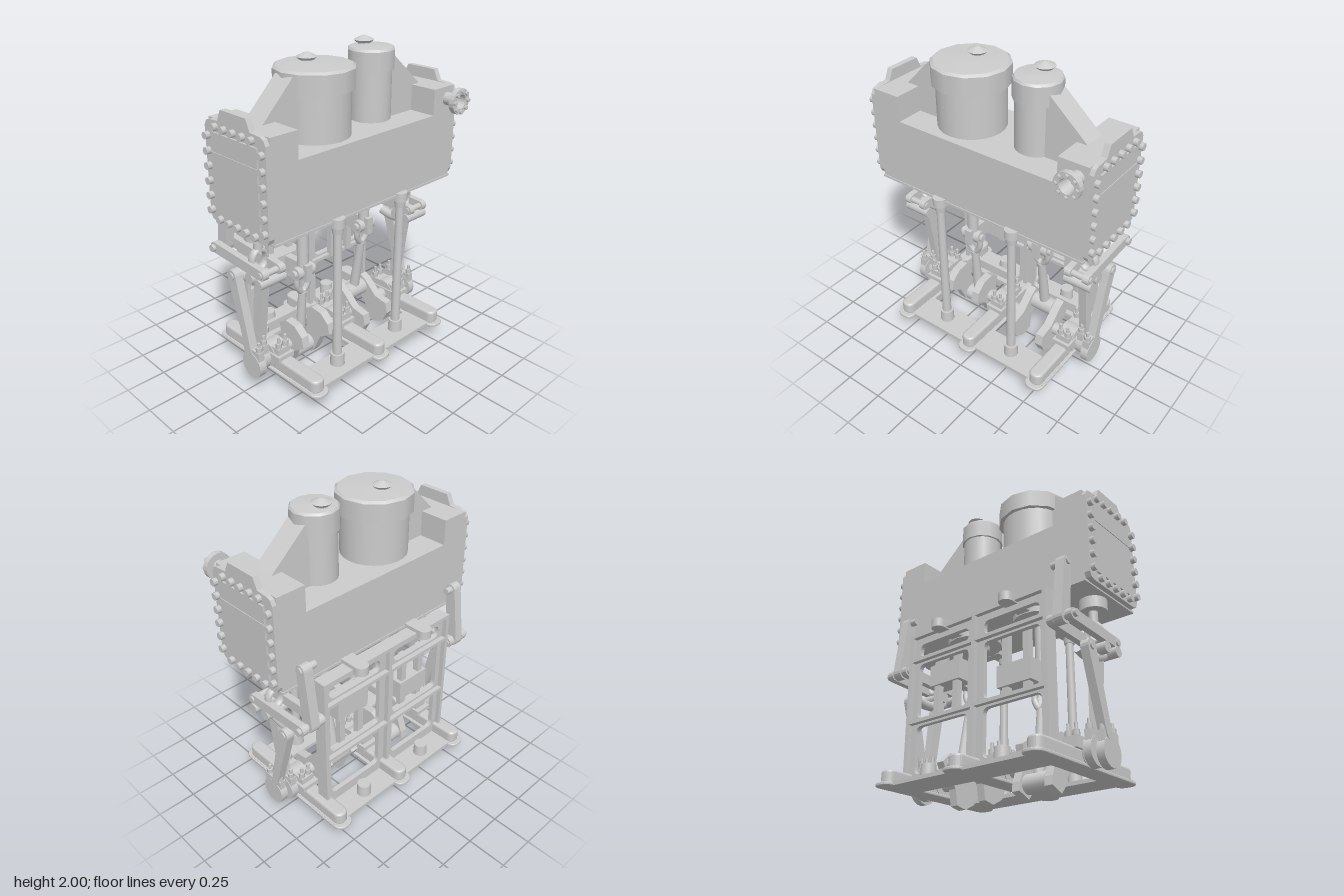
import * as THREE from 'three';

const grey = new THREE.MeshStandardMaterial({ color: 0xcccccc });
const V = (x, y, z) => new THREE.Vector3(x, y, z);

function put(parent, name, geo, x = 0, y = 0, z = 0) {
  const m = new THREE.Mesh(geo, grey);
  m.name = name;
  m.position.set(x, y, z);
  parent.add(m);
  return m;
}
// box given by its limits
function box(p, name, x0, x1, y0, y1, z0, z1) {
  return put(p, name, new THREE.BoxGeometry(x1 - x0, y1 - y0, z1 - z0), (x0 + x1) / 2, (y0 + y1) / 2, (z0 + z1) / 2);
}
// round bar between two points, optionally tapered
function bar(p, name, a, b, r0, r1 = r0, seg = 12) {
  const d = b.clone().sub(a);
  const m = put(p, name, new THREE.CylinderGeometry(r1, r0, d.length(), seg));
  m.position.copy(a).add(b).multiplyScalar(0.5);
  m.quaternion.setFromUnitVectors(V(0, 1, 0), d.normalize());
  return m;
}
const post = (p, name, x, z, y0, y1, r, r1 = r, seg = 12) => bar(p, name, V(x, y0, z), V(x, y1, z), r, r1, seg);
const axle = (p, name, x0, x1, y, z, r, seg = 16) => bar(p, name, V(x0, y, z), V(x1, y, z), r, r, seg);
// plate drawn in (z, y) and given thickness along x
function plateX(p, name, pts, x0, x1) {
  const s = new THREE.Shape(pts.map(([z, y]) => new THREE.Vector2(-z, y)));
  const g = new THREE.ExtrudeGeometry(s, { depth: x1 - x0, bevelEnabled: false });
  g.rotateY(Math.PI / 2);
  return put(p, name, g, x0, 0, 0);
}
// flat link with round ends, lying in a z-y plane
function linkX(p, name, x, w, [z0, y0], [z1, y1], r0, r1 = r0) {
  const a = Math.atan2(y1 - y0, z1 - z0), pts = [];
  for (let i = 0; i <= 8; i++) pts.push([z0 + r0 * Math.cos(a + Math.PI * (0.5 + i / 8)), y0 + r0 * Math.sin(a + Math.PI * (0.5 + i / 8))]);
  for (let i = 0; i <= 8; i++) pts.push([z1 + r1 * Math.cos(a + Math.PI * (i / 8 - 0.5)), y1 + r1 * Math.sin(a + Math.PI * (i / 8 - 0.5))]);
  return plateX(p, name, pts, x - w / 2, x + w / 2);
}
function roundRect(path, x0, x1, y0, y1, r) {
  path.moveTo(x0 + r, y0).lineTo(x1 - r, y0).quadraticCurveTo(x1, y0, x1, y0 + r).lineTo(x1, y1 - r);
  path.quadraticCurveTo(x1, y1, x1 - r, y1).lineTo(x0 + r, y1).quadraticCurveTo(x0, y1, x0, y1 - r);
  return path.lineTo(x0, y0 + r).quadraticCurveTo(x0, y0, x0 + r, y0);
}

function cylinderBlock(g) {
  box(g, 'cylinderBlock', -0.72, 0.73, 1.085, 1.52, -0.195, 0.31);
  box(g, 'blockLip', -0.725, 0.735, 1.08, 1.095, -0.2, 0.315);
  // cylinders with overhanging caps and knobs
  for (const [x, r, rc, y0, y1] of [[-0.2, 0.205, 0.233, 1.79, 1.905], [0.25, 0.125, 0.14, 1.82, 1.935]]) {
    post(g, 'cylinder', x, 0.06, 1.5, y0, r, r, 24);
    post(g, 'cylinderCap', x, 0.06, y0, y1, rc);
    post(g, 'capBevel', x, 0.06, y1, y1 + 0.013, rc, rc * 0.93);
    post(g, 'capDome', x, 0.06, y1 + 0.013, y1 + 0.022, rc * 0.93, rc * 0.25);
    post(g, 'knobNeck', x, 0, y1, y1 + 0.035, 0.035);
    post(g, 'knob', x, 0, y1 + 0.027, y1 + 0.042, 0.045, 0.06, 16);
    post(g, 'knobTop', x, 0, y1 + 0.042, y1 + 0.065, 0.06, 0.012, 16);
  }
  // sloping braces from the end chests to the cylinders
  for (const pts of [[[-0.63, 1.52], [-0.3, 1.52], [-0.3, 1.89], [-0.42, 1.89], [-0.63, 1.68]],
    [[0.3, 1.52], [0.61, 1.52], [0.61, 1.68], [0.37, 1.89], [0.3, 1.89]]]) {
    const s = new THREE.Shape(pts.map(([x, y]) => new THREE.Vector2(x, y)));
    put(g, 'brace', new THREE.ExtrudeGeometry(s, { depth: 0.14, bevelEnabled: false }), 0, 0, -0.008);
  }
  // end chests with bolted covers
  for (const s of [-1, 1]) {
    const range = (a, b) => (s > 0 ? [a, b] : [-b, -a]);
    box(g, 'endChest', ...range(0.545, 0.73), 1.5, 1.68, -0.195, 0.31);
    const c = [[0.31, 1.13], [0.295, 1.1], [0.27, 1.09], [-0.15, 1.09], [-0.18, 1.1], [-0.195, 1.13], [-0.195, 1.64], [-0.18, 1.67],
      [-0.15, 1.68], [-0.08, 1.685], [-0.05, 1.75], [0.16, 1.75], [0.19, 1.685], [0.27, 1.68], [0.295, 1.67], [0.31, 1.64]];
    plateX(g, 'endCover', c, ...range(0.72, 0.757));
    box(g, 'coverPanel', ...range(0.75, 0.768), 1.15, 1.62, -0.13, 0.25);
    box(g, 'coverRib', ...range(0.76, 0.772), 1.485, 1.51, -0.13, 0.25);
    const bolts = [];
    for (let i = 0; i < 6; i++) for (const z of [0.285, -0.168]) bolts.push([1.16 + i * 0.086, z]);
    for (let i = 0; i < 5; i++) for (const y of [1.12, 1.65]) bolts.push([y, 0.208 - i * 0.076]);
    for (const [y, z] of bolts) axle(g, 'coverBolt', s * 0.755, s * 0.785, y, z, 0.022, 8);
  }
  // steam inlet with an open flange
  const ring = [[0.04, 0.3], [0.04, 0.385], [0.08, 0.385], [0.08, 0.418], [0.045, 0.418], [0.03, 0.33], [0, 0.33]].map(([r, y]) => new THREE.Vector2(r, y));
  const inlet = put(g, 'steamInlet', new THREE.LatheGeometry(ring, 20).toNonIndexed(), 0.668, 1.605, 0);
  inlet.geometry.rotateX(Math.PI / 2).computeVertexNormals();
  inlet.material = grey.clone();
  inlet.material.side = THREE.DoubleSide;
  for (let i = 0; i < 8; i++) {
    const x = 0.668 + 0.063 * Math.cos(i * Math.PI / 4), y = 1.605 + 0.063 * Math.sin(i * Math.PI / 4);
    bar(g, 'inletBolt', V(x, y, 0.41), V(x, y, 0.432), 0.013, 0.013, 6);
  }
}

function base(g) {
  // cross members with rounded ends on a spreading flange
  for (const x of [-0.525, 0, 0.525]) {
    for (const [n, hw, hz, y0, y1, b] of [['baseFlange', 0.063, 0.47, 0.1, 0.12, 0.006], ['crossMember', 0.045, 0.44, 0.11, 0.198, 0.016]]) {
      const s = roundRect(new THREE.Shape(), x - hw + b, x + hw - b, -hz + b, hz - b, (hw - b) * 0.95);
      const geo = new THREE.ExtrudeGeometry(s, { depth: y1 - y0 - 2 * b, bevelSize: b, bevelThickness: b, bevelSegments: 3, curveSegments: 6 });
      geo.rotateX(-Math.PI / 2);
      put(g, n, geo, 0, y0 + b, 0);
    }
    // main bearing with cap, bolts and nuts
    box(g, 'bearingBlock', x - 0.06, x + 0.06, 0.19, 0.225, -0.14, 0.14);
    axle(g, 'bearingCap', x - 0.05, x + 0.05, 0.19, 0.01, 0.085, 16);
    box(g, 'bearingShoulder', x - 0.045, x + 0.045, 0.19, 0.265, -0.11, 0.12);
    for (const z of [-0.085, 0.1]) for (const dx of [-0.025, 0.025]) {
      post(g, 'bearingStud', x + dx, z, 0.25, 0.34, 0.01, 0.01, 8);
      post(g, 'bearingNut', x + dx, z, 0.265, 0.3, 0.02, 0.02, 6);
    }
  }
  // low plates joining the cross members, with feet for the columns
  box(g, 'frontPlate', -0.582, 0.582, 0.1, 0.123, 0.22, 0.417);
  box(g, 'rearPlate', -0.582, 0.582, 0.1, 0.123, -0.422, -0.2);
  for (const x of [-0.265, 0.265]) for (const z of [0.31, -0.345]) post(g, 'foot', x, z, 0.115, 0.2, 0.046, 0.042, 16);
}

function frame(g) {
  // rear frame: pierced web with flanged bars
  const s = roundRect(new THREE.Shape(), -0.52, 0.52, 0.115, 1.08, 0.005);
  for (const [a, b] of [[-0.465, -0.06], [0.06, 0.465]])
    for (const [y0, y1] of [[0.93, 1.015], [0.53, 0.88], [0.19, 0.48]]) s.holes.push(roundRect(new THREE.Path(), a, b, y0, y1, 0.04));
  put(g, 'frameWeb', new THREE.ExtrudeGeometry(s, { depth: 0.03, bevelEnabled: false, curveSegments: 5 }), 0, 0, -0.265);
  for (const x of [-0.515, 0, 0.515]) box(g, 'frameUpright', x - 0.012, x + 0.012, 0.115, 1.08, -0.295, -0.21);
  for (const y of [0.505, 0.905, 1.07]) box(g, 'frameBar', -0.525, 0.525, y - 0.011, y + 0.011, -0.295, -0.21);
  for (const x of [-0.265, 0.265]) {
    // front column
    post(g, 'column', x, 0.31, 0.19, 1.07, 0.029, 0.025, 16);
    post(g, 'columnCollar', x, 0.31, 1.01, 1.1, 0.032, 0.042, 16);
    // lugs joining the block to column and frame
    for (const [z0, z1] of [[0.2, 0.31], [-0.15, -0.315]]) {
      box(g, 'lug', x - 0.044, x + 0.044, 1.05, 1.105, Math.min(z0, z1), Math.max(z0, z1));
      post(g, 'lugEnd', x, z1, 1.05, 1.105, 0.044, 0.044, 16);
    }
    for (const d of [-0.075, 0.075]) box(g, 'guideBar', x + d - 0.02, x + d + 0.02, 0.5, 0.91, -0.235, -0.195);
  }
}

function runningGear(g) {
  axle(g, 'shaftLeft', 0.4, 0.69, 0.18, 0.01, 0.04);
  axle(g, 'shaftMiddle', -0.14, 0.14, 0.18, 0.01, 0.04);
  axle(g, 'shaftRight', -0.69, -0.4, 0.18, 0.01, 0.04);
  for (const [x, y, turn] of [[-0.265, 0.645, Math.PI + 0.4], [0.265, 0.785, -Math.PI / 4]]) {
    // crank with fan-shaped balance weights
    const crank = new THREE.Group();
    crank.name = 'crank';
    crank.position.set(x, 0.18, 0.01);
    crank.rotation.x = turn;
    g.add(crank);
    const web = [[0.06, 0.13], [0.045, 0.18], [-0.045, 0.18], [-0.06, 0.13], [-0.065, 0], [-0.12, -0.08],
      [-0.08, -0.14], [0, -0.165], [0.08, -0.14], [0.12, -0.08], [0.065, 0]];
    for (const d of [-0.135, 0.082]) plateX(crank, 'crankWeb', web, d, d + 0.053);
    axle(crank, 'crankPin', -0.1, 0.1, 0.115, 0, 0.04);
    axle(crank, 'bigEnd', -0.075, 0.075, 0.115, 0, 0.056);
    const py = 0.18 + 0.115 * Math.cos(turn), pz = 0.01 + 0.115 * Math.sin(turn);
    // connecting rod ending in a U-shaped fork
    const pin = V(x, py, pz), top = V(x, y, 0.01), fork = pin.clone().lerp(top, 0.74);
    bar(g, 'connectingRod', pin, fork, 0.035, 0.026);
    const side = (d, t) => pin.clone().lerp(top, t).add(V(d, 0, 0));
    const u = new THREE.CatmullRomCurve3([side(-0.045, 1), side(-0.045, 0.84), fork, side(0.045, 0.84), side(0.045, 1)]);
    put(g, 'rodFork', new THREE.TubeGeometry(u, 24, 0.02, 8));
    for (const d of [-0.045, 0.045]) axle(g, 'forkEye', x + d - 0.02, x + d + 0.02, y, 0.01, 0.042);
    // crosshead, slipper and piston rod
    axle(g, 'crossheadPin', x - 0.085, x + 0.085, y, 0.01, 0.025);
    box(g, 'crosshead', x - 0.024, x + 0.024, y - 0.05, y + 0.06, -0.16, 0.07);
    box(g, 'slipper', x - 0.12, x + 0.12, y - 0.065, y + 0.065, -0.25, -0.13);
    post(g, 'pistonRod', x, 0.01, y, 1.09, 0.036, 0.036, 16);
    post(g, 'glandFlange', x, 0.02, 1.045, 1.085, 0.172, 0.172, 16);
    post(g, 'gland', x, 0.02, 1.01, 1.05, 0.095, 0.095, 16);
  }
}

function valveGear(g) {
  for (const s of [-1, 1]) {
    const X = (a) => s * a;
    post(g, 'valveGland', X(0.62), 0.04, 1.01, 1.085, 0.082, 0.082, 16);
    post(g, 'valveRod', X(0.62), 0.035, 0.92, 1.03, 0.027);
    // eye carrying the die block
    const eye = put(g, 'valveRodEye', new THREE.TorusGeometry(0.05, 0.014, 8, 20), X(0.62), 0.87, 0.035);
    eye.scale.set(1, 1.25, 2);
    axle(g, 'dieBlock', X(0.54), X(0.7), 0.775, 0.04, 0.035);
    // curved link
    const arc = new THREE.QuadraticBezierCurve3(V(X(0.62), 0.775, 0.13), V(X(0.62), 0.68, 0.0), V(X(0.62), 0.73, -0.14));
    put(g, 'expansionLink', new THREE.TubeGeometry(arc, 12, 0.032, 8));
    axle(g, 'linkPin', X(0.53), X(0.71), 0.775, 0.135, 0.032);
    // eccentrics and their rods
    for (const [x, cy, cz, ty, tz] of [[0.675, 0.175, 0.02, 0.725, -0.125], [0.615, 0.185, -0.01, 0.75, 0.05]]) {
      axle(g, 'eccentricStrap', X(x - 0.024), X(x + 0.024), cy, cz, 0.085, 20);
      linkX(g, 'eccentricRod', X(x), 0.052, [cz + (tz - cz) * 0.15, cy + 0.09], [tz, ty], 0.026, 0.04);
      axle(g, 'rodEndPin', X(x - 0.035), X(x + 0.035), ty, tz, 0.024);
      box(g, 'strapLug', X(x) - 0.02, X(x) + 0.02, cy + 0.05, cy + 0.11, cz - 0.07, cz + 0.07);
      for (const d of [-0.05, 0.05]) {
        post(g, 'strapBolt', X(x), cz + d, cy + 0.1, cy + 0.17, 0.01, 0.01, 8);
        post(g, 'strapNut', X(x), cz + d, cy + 0.11, cy + 0.14, 0.02, 0.02, 6);
      }
    }
    // drag links and reversing arm
    for (const x of [0.56, 0.68]) linkX(g, 'dragLink', X(x), 0.04, [-0.28, 0.855], [0.145, 0.835], 0.034, 0.032);
    axle(g, 'dragLinkPin', X(0.53), X(0.72), 0.855, -0.28, 0.022);
    axle(g, 'frontLinkPin', X(0.53), X(0.71), 0.835, 0.145, 0.02);
    linkX(g, 'reversingArm', X(0.615), 0.06, [-0.28, 0.855], [-0.24, 1.215], 0.04, 0.034);
    axle(g, 'reversingShaft', X(0.54), X(0.655), 1.215, -0.24, 0.022);
  }
}

export function createModel() {
  const g = new THREE.Group();
  g.name = 'steamEngine';
  for (const build of [cylinderBlock, base, frame, runningGear, valveGear]) {
    const part = new THREE.Group();
    part.name = build.name;
    build(part);
    g.add(part);
  }
  return g;
}
